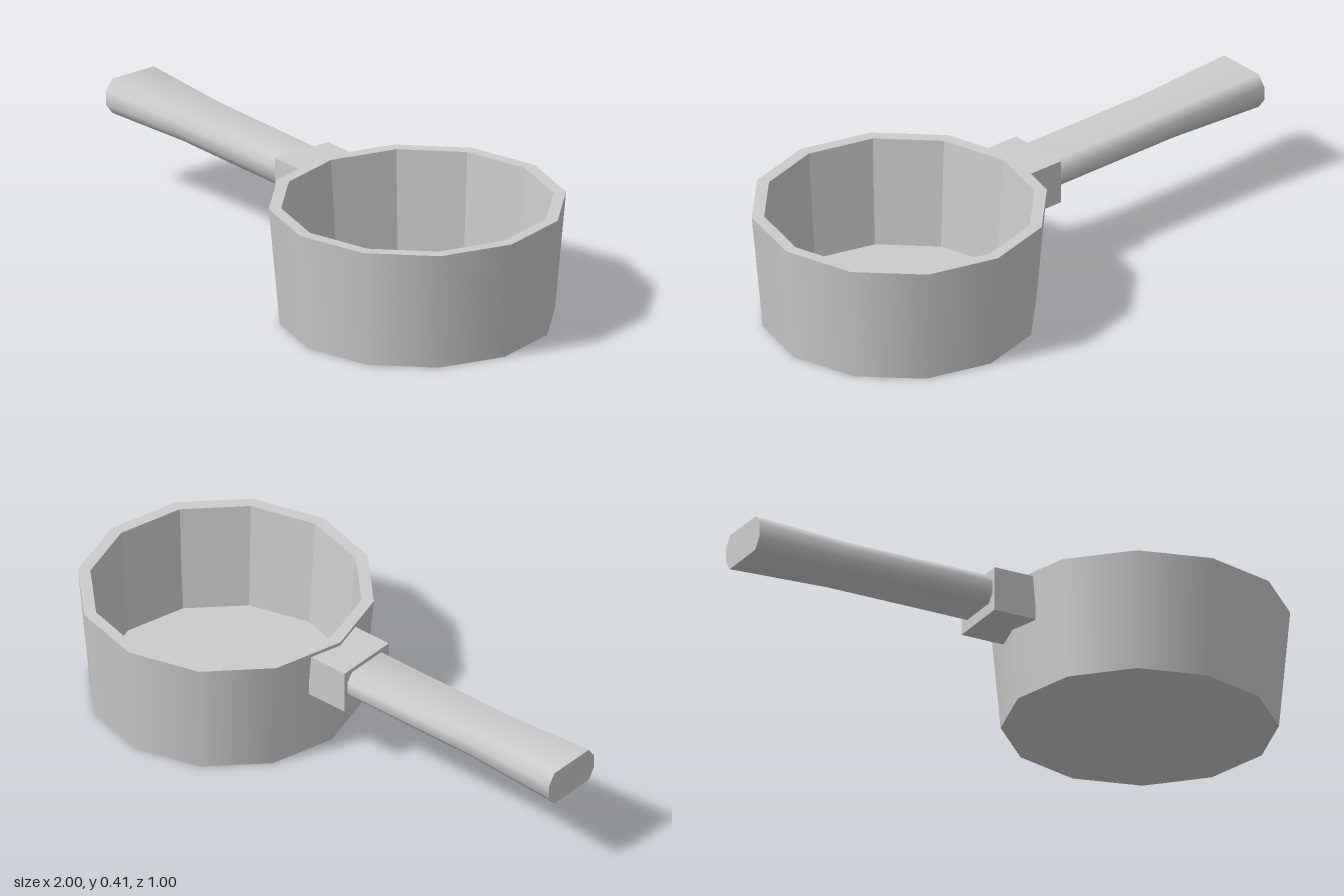
import * as THREE from 'three';

const SIDES = 12;
const smooth = new THREE.MeshStandardMaterial({ color: 0xcccccc });
const faceted = new THREE.MeshStandardMaterial({ color: 0xcccccc, flatShading: true });

function add(parent, name, geometry, material) {
  const mesh = new THREE.Mesh(geometry, material);
  mesh.name = name;
  parent.add(mesh);
  return mesh;
}

// Twelve-sided surface of revolution from [radius, height] pairs
function ring(...pairs) {
  return new THREE.LatheGeometry(pairs.map(([r, y]) => new THREE.Vector2(r, y)), SIDES);
}

// Cross-section of the handle: a flat bar with cut corners, as [z, y]
function handleSection(halfWidth, halfHeight) {
  const corners = [[1, 0.4], [0.76, 1], [-0.76, 1], [-1, 0.4], [-1, -0.4], [-0.76, -1], [0.76, -1], [1, -0.4]];
  return corners.map(([z, y]) => [z * halfWidth, y * halfHeight]);
}

// Smooth skin through the stations, running from the bracket towards -x
function loft(stations) {
  const positions = [], indices = [], n = 8;
  for (const [x, w, h] of stations) {
    for (const [z, y] of handleSection(w, h)) positions.push(x, y, z);
  }
  for (let s = 0; s < stations.length - 1; s++) {
    for (let i = 0; i < n; i++) {
      const a = s * n + i, b = s * n + (i + 1) % n;
      indices.push(a, b, a + n, b, b + n, a + n);
    }
  }
  const geometry = new THREE.BufferGeometry();
  geometry.setAttribute('position', new THREE.Float32BufferAttribute(positions, 3));
  geometry.setIndex(indices);
  geometry.computeVertexNormals();
  return geometry;
}

export function createModel() {
  const model = new THREE.Group();
  model.name = 'saucepan';

  // Pan: tapered wall, flat rim, faceted inside and base
  const pan = new THREE.Group();
  pan.name = 'pan';
  pan.position.x = 0.502;
  model.add(pan);
  add(pan, 'outerWall', ring([0.461, 0], [0.498, 0.413]), smooth);
  add(pan, 'rim', ring([0.498, 0.413], [0.456, 0.413]), faceted);
  add(pan, 'innerWall', ring([0.456, 0.413], [0.425, 0.03]), faceted);
  add(pan, 'innerFloor', ring([0.425, 0.03], [0, 0.03]), faceted);
  add(pan, 'base', ring([0, 0], [0.461, 0]), faceted);

  // Block joining the handle to the pan
  const bracket = add(model, 'bracket', new THREE.BoxGeometry(0.155, 0.155, 0.226), faceted);
  bracket.position.set(-0.032, 0.322, 0);

  // Handle flaring gently towards its end: [x, half width, half height]
  const handle = new THREE.Group();
  handle.name = 'handle';
  handle.position.y = 0.334;
  model.add(handle);
  add(handle, 'grip', loft([[-0.1, 0.098, 0.051], [-0.64, 0.098, 0.051], [-1, 0.115, 0.061]]), smooth);

  // Flat cap on the end of the handle
  const outline = new THREE.Shape(handleSection(0.115, 0.061).map(([z, y]) => new THREE.Vector2(z, y)));
  const cap = add(handle, 'endCap', new THREE.ShapeGeometry(outline), faceted);
  cap.rotation.y = -Math.PI / 2;
  cap.position.x = -1;

  return model;
}
